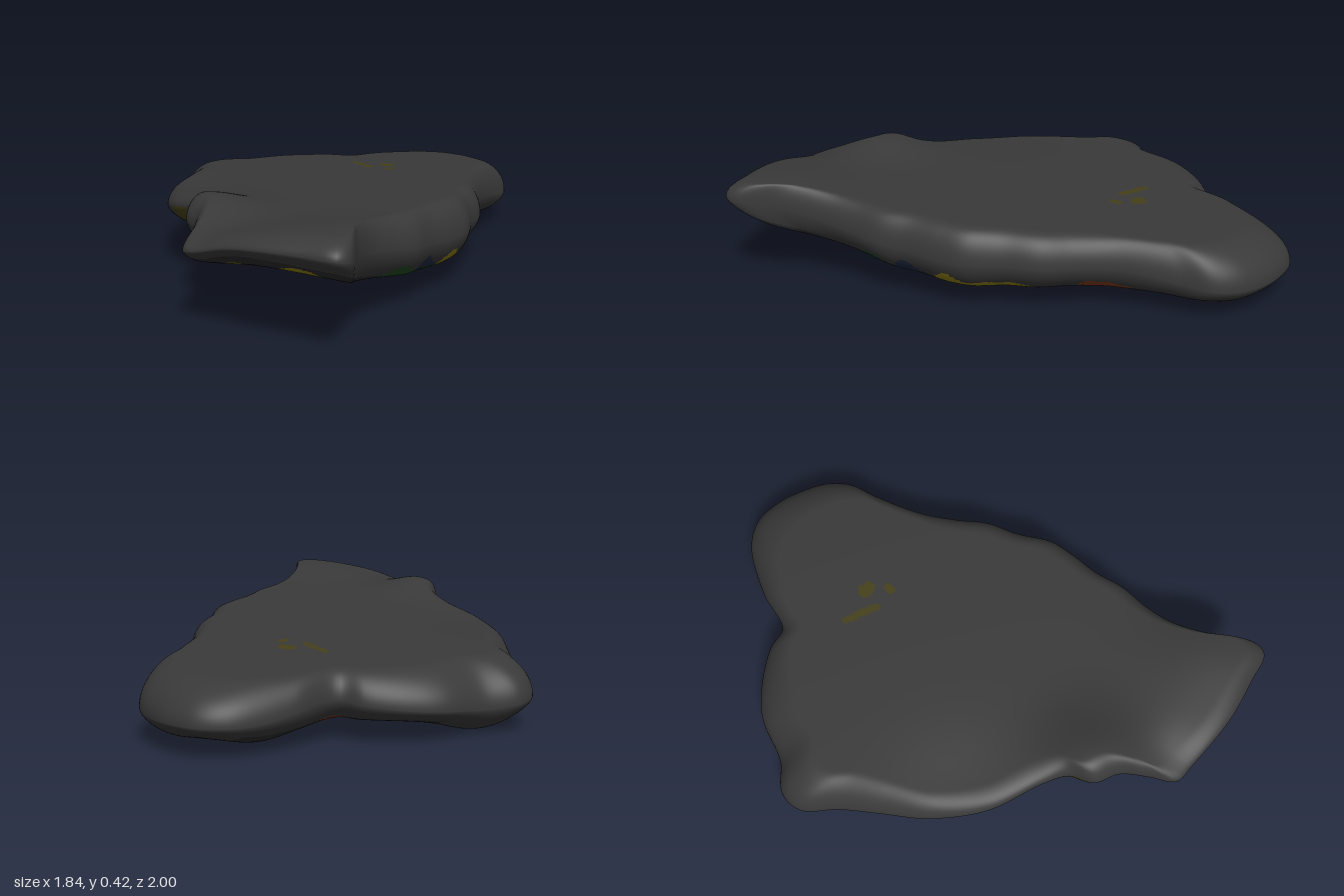
import * as THREE from 'three';

const mat = (name, color) => Object.assign(new THREE.MeshStandardMaterial({ color }), { name });

// outline seen from above: x, z pairs
const OUTLINE = [
  -0.21, -1, -0.1, -0.985, 0, -0.95, 0.08, -0.88, 0.13, -0.76, 0.23, -0.56, 0.33, -0.44, 0.43, -0.34,
  0.5, -0.22, 0.59, -0.1, 0.62, 0, 0.645, 0.13, 0.685, 0.25, 0.7, 0.38, 0.73, 0.5, 0.8, 0.63,
  0.915, 0.77, 0.91, 0.82, 0.8, 0.87, 0.62, 0.94, 0.4, 0.985, 0.32, 0.995, 0.25, 0.92, 0.16, 0.84,
  0.06, 0.81, 0, 0.73, -0.1, 0.69, -0.32, 0.64, -0.52, 0.52, -0.66, 0.38, -0.78, 0.26, -0.9, 0.17,
  -0.92, 0.07, -0.85, -0.05, -0.81, -0.23, -0.74, -0.34, -0.62, -0.45, -0.53, -0.49, -0.5, -0.68,
  -0.42, -0.9, -0.33, -0.98,
];

// painted strokes: material index, start x and z, end x and z, half width
const UNDER_STROKES = [
  [2, 0.55, 0.0, 0.385, -0.23, 0.054], // yellow, near the edges
  [2, 0.7, 0.77, 0.51, 0.69, 0.075],
  [2, 0.36, 0.82, 0.43, 0.84, 0.05],
  [2, -0.15, 0.585, -0.43, 0.43, 0.065],
  [3, -0.24, 0.64, -0.18, 0.65, 0.05], // olive, front wall
  [3, 0, 0.66, 0, 0.73, 0.05],
  [5, 0.24, -0.25, 0.05, -0.2, 0.115], // greens
  [5, 0.11, 0.18, 0.02, 0.28, 0.12],
  [4, 0.54, 0.32, 0.48, 0.17, 0.12],
  [4, -0.28, 0.06, -0.41, 0.14, 0.12],
  [6, 0, 0.51, -0.44, 0.29, 0.11], // red band and fan of streaks
  [6, 0.25, -0.43, 0.16, -0.53, 0.04],
  [6, 0.2, -0.44, -0.01, -0.55, 0.042],
  [6, 0.03, -0.4, -0.15, -0.5, 0.042],
  [6, -0.18, -0.34, -0.21, -0.49, 0.04],
  [6, -0.37, -0.29, -0.33, -0.48, 0.04],
  [6, -0.48, -0.38, -0.42, -0.54, 0.036],
  [7, 0.57, 0.16, 0.22, -0.24, 0.07], // blue
  [7, -0.08, -0.72, -0.04, -0.8, 0.05],
];
const TOP_STROKES = [
  [3, -0.18, -0.38, -0.16, -0.385, 0.027],
  [3, -0.31, -0.325, -0.18, -0.295, 0.016],
  [3, -0.09, -0.33, -0.09, -0.315, 0.018],
];

const bump = (x, z, cx, cz, r) => Math.exp(-((x - cx) ** 2 + (z - cz) ** 2) / (r * r));

// height of the upper face
const topY = (x, z) => 0.312 + 0.05 * x + 0.045 * z
  + 0.035 * bump(x, z, 0.75, 0.7, 0.25) + 0.055 * bump(x, z, 0.1, 0.74, 0.18)
  - 0.02 * bump(x, z, -0.4, 0.55, 0.25) - 0.04 * bump(x, z, 0.33, 1, 0.15);

// height of the lower face, rising to the front, with bulges under the side and back lobes
const bottomY = (x, z) => 0.07 + 0.17 * Math.max(z, 0) ** 2 + 0.16 * Math.max(x, 0) * Math.max(z, 0)
  + 0.04 * bump(x, z, -0.22, 0.58, 0.25) - 0.04 * bump(x, z, 0.33, 1, 0.15)
  - 0.07 * bump(x, z, -0.73, 0.02, 0.18)
  - 0.05 * bump(x, z, -0.3, -0.7, 0.14) - 0.035 * bump(x, z, -0.1, -0.85, 0.14);

// how far a point lies out on the drooping left and back lobes, 0 to 1
const droop = (x, z) => THREE.MathUtils.smoothstep(Math.max(-z - 0.5, -x - 0.45), 0, 0.4);

// first stroke covering a point, with a wavy border
function strokeAt(list, x, z) {
  for (const [m, x1, z1, x2, z2, w] of list) {
    const dx = x2 - x1, dz = z2 - z1;
    const t = THREE.MathUtils.clamp(((x - x1) * dx + (z - z1) * dz) / (dx * dx + dz * dz), 0, 1);
    const ox = x - x1 - t * dx, oz = z - z1 - t * dz;
    const wave = 1 + 0.07 * Math.sin((x * 1.5 + z * 2.5) / w);
    if (Math.hypot(ox, oz) < w * wave) return m;
  }
  return -1;
}

function slabGeometry() {
  const pts = [];
  for (let i = 0; i < OUTLINE.length; i += 2) pts.push(new THREE.Vector3(OUTLINE[i], 0, OUTLINE[i + 1]));
  const N = 320, n = 64, cz = 0.05;
  const rim = new THREE.CatmullRomCurve3(pts, true).getSpacedPoints(N).slice(0, N);

  // rings run from the top centre out over the rounded rim to the bottom centre
  const pos = [];
  const addPoint = (k, p) => {
    const rho = k === 2 * n ? 0 : Math.sin((Math.PI * k) / (2 * n));
    const x = p.x * rho, z = cz + (p.z - cz) * rho;
    const t = topY(x, z), b = bottomY(x, z), low = droop(x, z);
    const mid = b + (t - b) * (0.5 - 0.2 * low + 0.2 * bump(x, z, -0.1, 0.68, 0.22));
    const d = (1 - rho) * Math.hypot(p.x, p.z - cz);
    const u = Math.min(1, d / (k <= n ? 0.09 + 0.11 * low : 0.15));
    const f = (1 - (1 - u) ** 2) ** (k <= n ? 0.5 : 0.6);
    pos.push(x, mid + ((k <= n ? t : b) - mid) * f, z);
  };
  addPoint(0, rim[0]);
  for (let k = 1; k < 2 * n; k++) rim.forEach((p) => addPoint(k, p));
  addPoint(2 * n, rim[0]);
  const last = pos.length / 3 - 1;
  const id = (k, j) => (k === 0 ? 0 : k === 2 * n ? last : 1 + (k - 1) * N + (j % N));

  // sort the triangles by colour
  const faces = Array.from({ length: 8 }, () => []);
  const addFace = (k, a, b, c) => {
    if (a === b || b === c || a === c) return;
    const at = (o) => (pos[3 * a + o] + pos[3 * b + o] + pos[3 * c + o]) / 3;
    const x = at(0), y = at(1), z = at(2);
    let m = strokeAt(k < n ? TOP_STROKES : UNDER_STROKES, x, z);
    if (m < 0) {
      const lobe = bump(x, z, -0.73, 0.02, 0.18) > 0.25 || z < -0.84;
      m = k >= n && !lobe && y - bottomY(x, z) < 0.02 ? 1 : 0;
    }
    faces[m].push(a, b, c);
  };
  for (let k = 0; k < 2 * n; k++) {
    for (let j = 0; j < N; j++) {
      addFace(k, id(k, j), id(k + 1, j + 1), id(k + 1, j));
      addFace(k, id(k, j), id(k, j + 1), id(k + 1, j + 1));
    }
  }

  const geo = new THREE.BufferGeometry();
  geo.setAttribute('position', new THREE.Float32BufferAttribute(pos, 3));
  geo.setIndex(faces.flat());
  let start = 0;
  faces.forEach((f, m) => {
    if (f.length) geo.addGroup(start, f.length, m);
    start += f.length;
  });
  geo.computeVertexNormals();
  geo.computeBoundingBox();
  geo.translate(0, -geo.boundingBox.min.y, 0);
  return geo;
}

export function createModel() {
  const materials = [
    mat('stone grey', 0x393939),
    mat('dark underside', 0x2b2b2b),
    mat('ochre yellow', 0x8c7c14),
    mat('olive', 0x454018),
    mat('dark green', 0x1f4a22),
    mat('light green', 0x547c28),
    mat('rust red', 0x7c381a),
    mat('dark blue', 0x1e2a40),
  ];
  const slab = new THREE.Mesh(slabGeometry(), materials);
  slab.name = 'paintedStoneSlab';
  const model = new THREE.Group();
  model.name = 'paintedStone';
  model.add(slab);
  return model;
}
